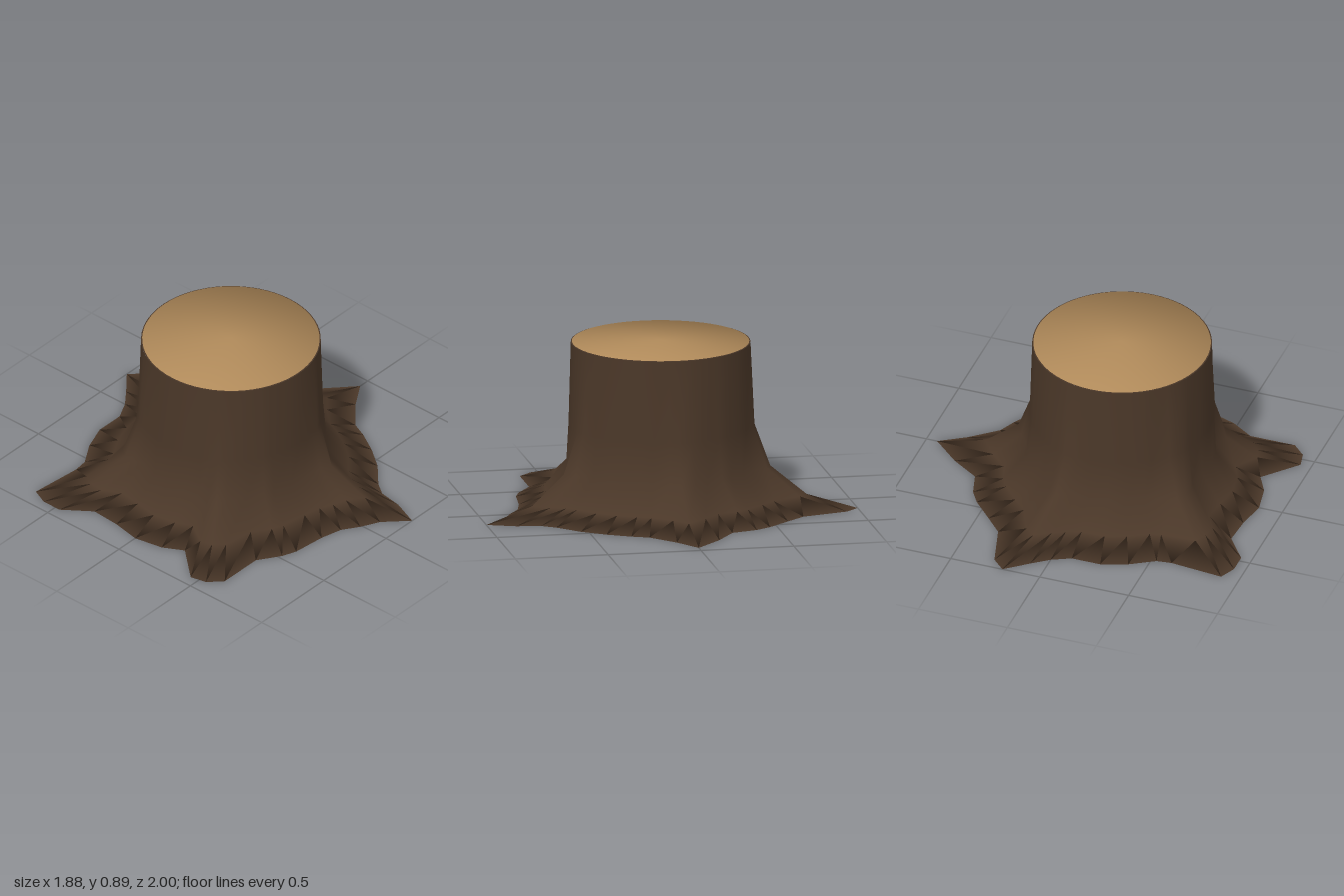
import * as THREE from 'three';

const CENTER_X = -0.1, TOP = 0.88, RIM = 0.475;

// Footprint of the root flare as x, z pairs, running from +x towards +z
const FOOTPRINT = [
  0.94, 0, 0.8, 0.09, 0.66, 0.21, 0.62, 0.3, 0.55, 0.42, 0.46, 0.54, 0.34, 0.65, 0.29, 0.72,
  0.27, 0.85, 0.21, 1, 0.09, 0.88, -0.01, 0.83, -0.1, 0.77, -0.22, 0.74, -0.4, 0.72, -0.48, 0.69,
  -0.6, 0.61, -0.85, 0.61, -0.92, 0.54, -0.94, 0.45, -0.78, 0.27, -0.84, 0.16, -0.87, 0, -0.84, -0.16,
  -0.83, -0.32, -0.94, -0.47, -0.94, -0.58, -0.9, -0.67, -0.61, -0.64, -0.53, -0.65, -0.4, -0.73, -0.26, -0.78,
  -0.1, -0.78, 0, -0.83, 0.09, -0.9, 0.21, -1, 0.28, -0.93, 0.35, -0.68, 0.44, -0.58, 0.55, -0.46,
  0.6, -0.38, 0.64, -0.24, 0.79, -0.14,
];

// Cross-section levels: height, trunk radius, and how strongly the roots push out
const LEVELS = [
  [0, 0.77, 1],
  [0.07, 0.62, 0.56],
  [0.22, 0.505, 0.28],
  [0.44, 0.488, 0.04],
  [TOP, RIM, 0],
];

function indexed(positions, indices) {
  const geometry = new THREE.BufferGeometry();
  geometry.setAttribute('position', new THREE.Float32BufferAttribute(positions, 3));
  geometry.setIndex(indices);
  geometry.computeVertexNormals();
  return geometry;
}

// Trunk and roots: stacked rings, closed underneath by a fan
function barkGeometry() {
  const n = FOOTPRINT.length / 2;
  const positions = [], indices = [];
  for (const [y, radius, push] of LEVELS) {
    for (let i = 0; i < n; i++) {
      const x = FOOTPRINT[2 * i] - CENTER_X, z = FOOTPRINT[2 * i + 1];
      const outer = Math.hypot(x, z);
      const r = radius + push * (outer - 0.77);
      positions.push(x / outer * r, y, z / outer * r);
    }
  }
  const bottom = positions.length / 3;
  positions.push(0, 0, 0);
  for (let i = 0; i < n; i++) {
    const j = (i + 1) % n;
    indices.push(bottom, i, j);
    for (let k = 0; k < LEVELS.length - 1; k++) {
      const a = k * n + i, b = k * n + j;
      indices.push(a, a + n, b, b, a + n, b + n);
    }
  }
  return indexed(positions, indices);
}

// Cut face: a very shallow fan whose normals round over at the edge
function cutGeometry(radius, sides = 64) {
  const positions = [0, TOP + 0.008, 0], normals = [0, 1, 0], indices = [];
  const s = Math.SQRT1_2;
  for (let i = 0; i < sides; i++) {
    const t = i / sides * Math.PI * 2, c = Math.cos(t), d = Math.sin(t);
    positions.push(c * radius, TOP + 0.002, d * radius);
    normals.push(c * s, s, d * s);
    indices.push(0, (i + 1) % sides + 1, i + 1);
  }
  const geometry = indexed(positions, indices);
  geometry.setAttribute('normal', new THREE.Float32BufferAttribute(normals, 3));
  return geometry;
}

export function createModel() {
  const bark = new THREE.MeshStandardMaterial({ color: 0x4a3728 });
  bark.name = 'bark';
  const wood = new THREE.MeshStandardMaterial({ color: 0xb08a5a });
  wood.name = 'cut wood';

  const model = new THREE.Group();
  model.name = 'treeStump';
  const add = (name, geometry, material) => {
    const mesh = new THREE.Mesh(geometry, material);
    mesh.name = name;
    mesh.position.x = CENTER_X;
    model.add(mesh);
  };

  add('trunkAndRoots', barkGeometry(), bark);
  // Thin bark edge around the cut
  const edge = new THREE.RingGeometry(0.44, RIM, 64).rotateX(-Math.PI / 2).translate(0, TOP, 0);
  add('barkEdge', edge, bark);
  add('cutFace', cutGeometry(0.469), wood);
  return model;
}
